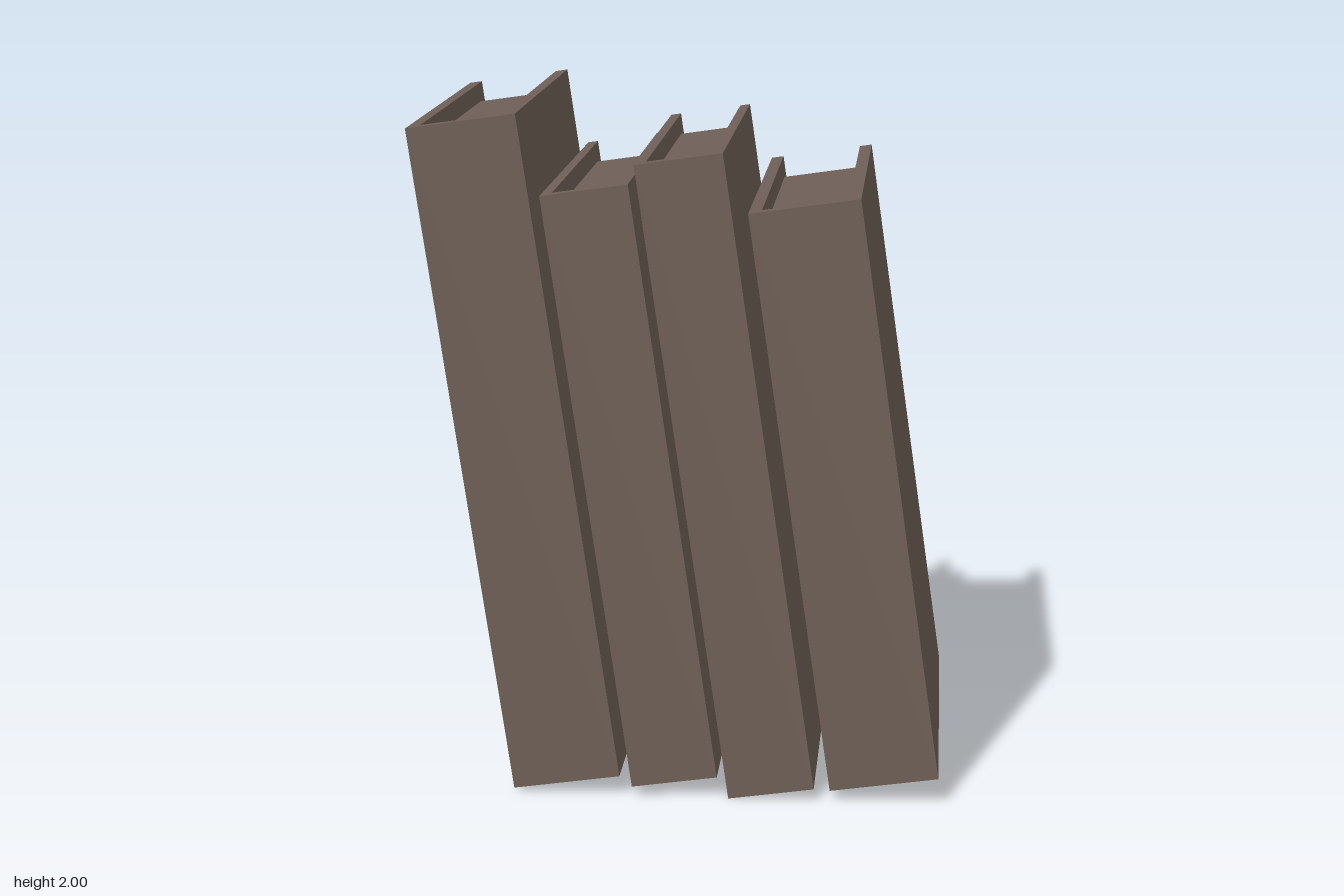
import * as THREE from 'three';

const TILT = THREE.MathUtils.degToRad(8.25);
const HALF_DEPTH = 0.573;
const SPINE = 0.04;       // spine thickness
const FORE_EDGE = 0.08;   // page setback at the open side
const INSET = 0.055;      // page setback at top and bottom

// x, y: lower left corner of the leaning book; w: thickness; h: height; t: cover board
const BOOKS = [
  { x: -0.481, y: 0.016, w: 0.314, h: 1.96, t: 0.037 },
  { x: -0.134, y: 0.03, w: 0.252, h: 1.758, t: 0.031 },
  { x: 0.149, y: 0.002, w: 0.252, h: 1.878, t: 0.031 },
  { x: 0.445, y: 0.035, w: 0.318, h: 1.71, t: 0.037 },
];

function makeBook({ x, y, w, h, t }, material) {
  const book = new THREE.Group();
  const d = HALF_DEPTH;

  // U-shaped cover: two boards joined by the spine at the front (+z)
  const shape = new THREE.Shape([
    [0, -d], [w, -d], [w, d], [w - t, d],
    [w - t, -d + SPINE], [t, -d + SPINE], [t, d], [0, d],
  ].map(([px, py]) => new THREE.Vector2(px, py)));
  const coverGeometry = new THREE.ExtrudeGeometry(shape, { depth: h, bevelEnabled: false });
  coverGeometry.rotateX(-Math.PI / 2);
  const cover = new THREE.Mesh(coverGeometry, material);
  cover.name = 'cover';

  // Page block set back inside the cover
  const pageDepth = 2 * d - SPINE - FORE_EDGE;
  const pages = new THREE.Mesh(
    new THREE.BoxGeometry(w - 2 * t, h - 2 * INSET, pageDepth), material);
  pages.position.set(w / 2, h / 2, (FORE_EDGE - SPINE) / 2);
  pages.name = 'pages';

  book.add(cover, pages);
  book.position.set(x, y, 0);
  book.rotation.z = TILT;
  return book;
}

export function createModel() {
  const model = new THREE.Group();
  model.name = 'leaningBooks';
  const material = new THREE.MeshStandardMaterial({ color: 0x6e5f56, flatShading: true });
  BOOKS.forEach((spec, i) => {
    const book = makeBook(spec, material);
    book.name = `book${i + 1}`;
    model.add(book);
  });
  return model;
}
